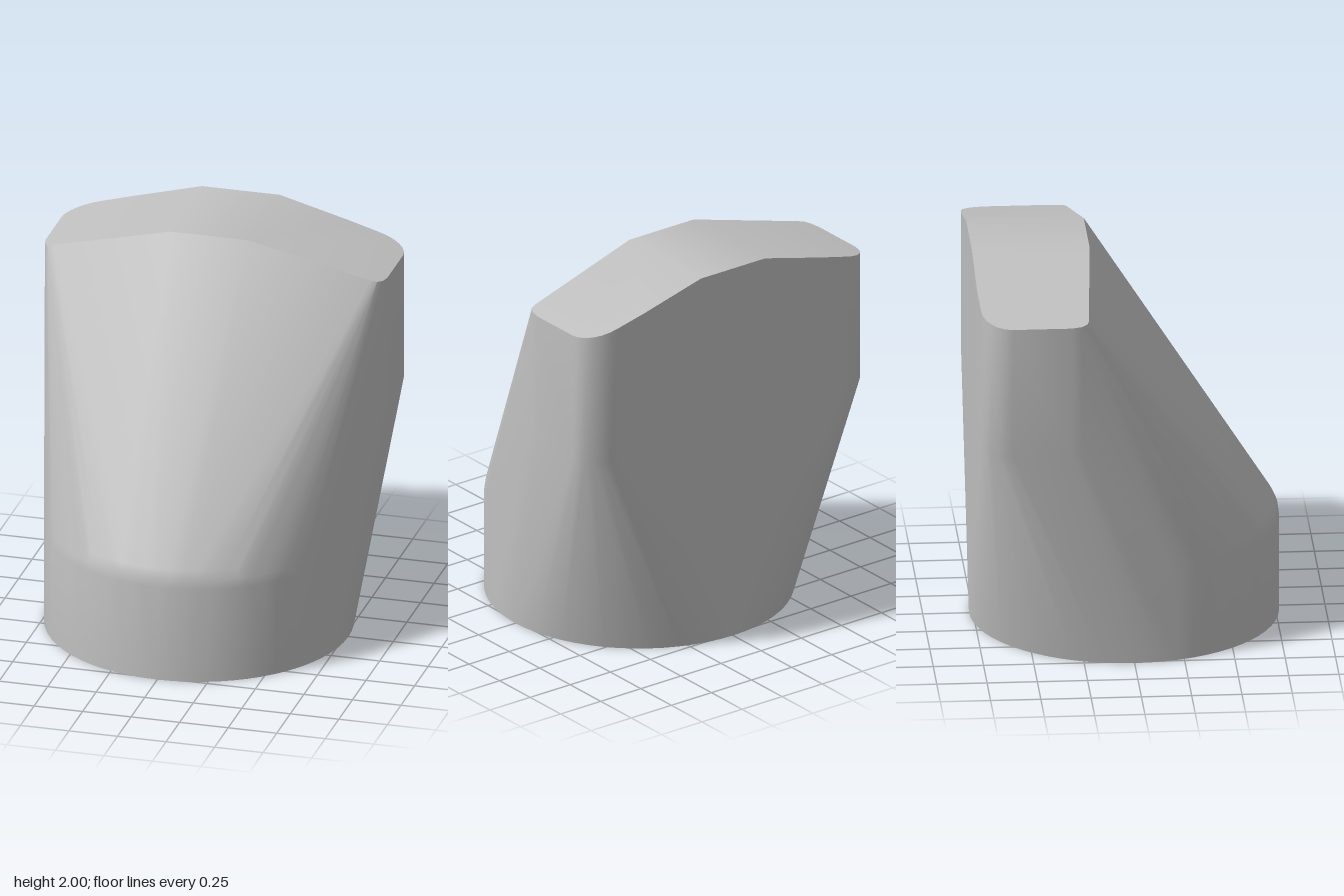
import * as THREE from 'three';
import { ConvexGeometry } from 'three/addons/geometries/ConvexGeometry.js';
import { toCreasedNormals } from 'three/addons/utils/BufferGeometryUtils.js';

const SEGMENTS = 64;

// Roof height: flat in the middle, sloping down to each side
const roof = (x) => 2 - 0.18 * Math.max(0, Math.abs(x) - 0.2) / 0.68;

// Horizontal arc of the round base
function ring(points, radius, y, from, to, steps) {
  for (let i = 0; i <= steps; i++) {
    const a = from + (to - from) * i / steps;
    points.push(new THREE.Vector3(Math.cos(a) * radius, y, Math.sin(a) * radius));
  }
}

// Right half of the upper block's outline: back corner, side, front corner
function blockOutline() {
  const pts = [[0.2, -0.77], [0.55, -0.768]];
  for (let i = 0; i <= 6; i++) {
    const a = i / 6 * Math.PI / 2;
    pts.push([0.71 + 0.17 * Math.sin(a), -0.61 - 0.15 * Math.cos(a)]);
  }
  pts.push([0.88, -0.32], [0.87, -0.27], [0.85, -0.24], [0.82, -0.23], [0.2, -0.185]);
  return pts;
}

export function createModel() {
  const grey = new THREE.MeshStandardMaterial({ color: 0xc0c0c0 });
  grey.name = 'plain grey';

  const points = [];
  // Round foot, and the front half of the drum with its softened rim
  ring(points, 0.77, 0, 0, Math.PI * 2 * (1 - 1 / SEGMENTS), SEGMENTS - 1);
  ring(points, 0.77, 0.5, 0.15, Math.PI - 0.15, 32);
  ring(points, 0.763, 0.55, 0.15, Math.PI - 0.15, 32);
  ring(points, 0.745, 0.59, 0.15, Math.PI - 0.15, 32);

  // Wide upper block with a pitched roof
  for (const side of [-1, 1]) {
    for (const [x, z] of blockOutline()) {
      points.push(new THREE.Vector3(side * x, roof(x), z));
      if (z < -0.25 && x > 0.5) points.push(new THREE.Vector3(side * x, 1.15, z));
    }
  }

  // One taut skin over the foot and the block
  const body = new THREE.Mesh(toCreasedNormals(new ConvexGeometry(points), 0.42), grey);
  body.name = 'body';

  const model = new THREE.Group();
  model.name = 'taperedBlock';
  model.add(body);
  return model;
}
